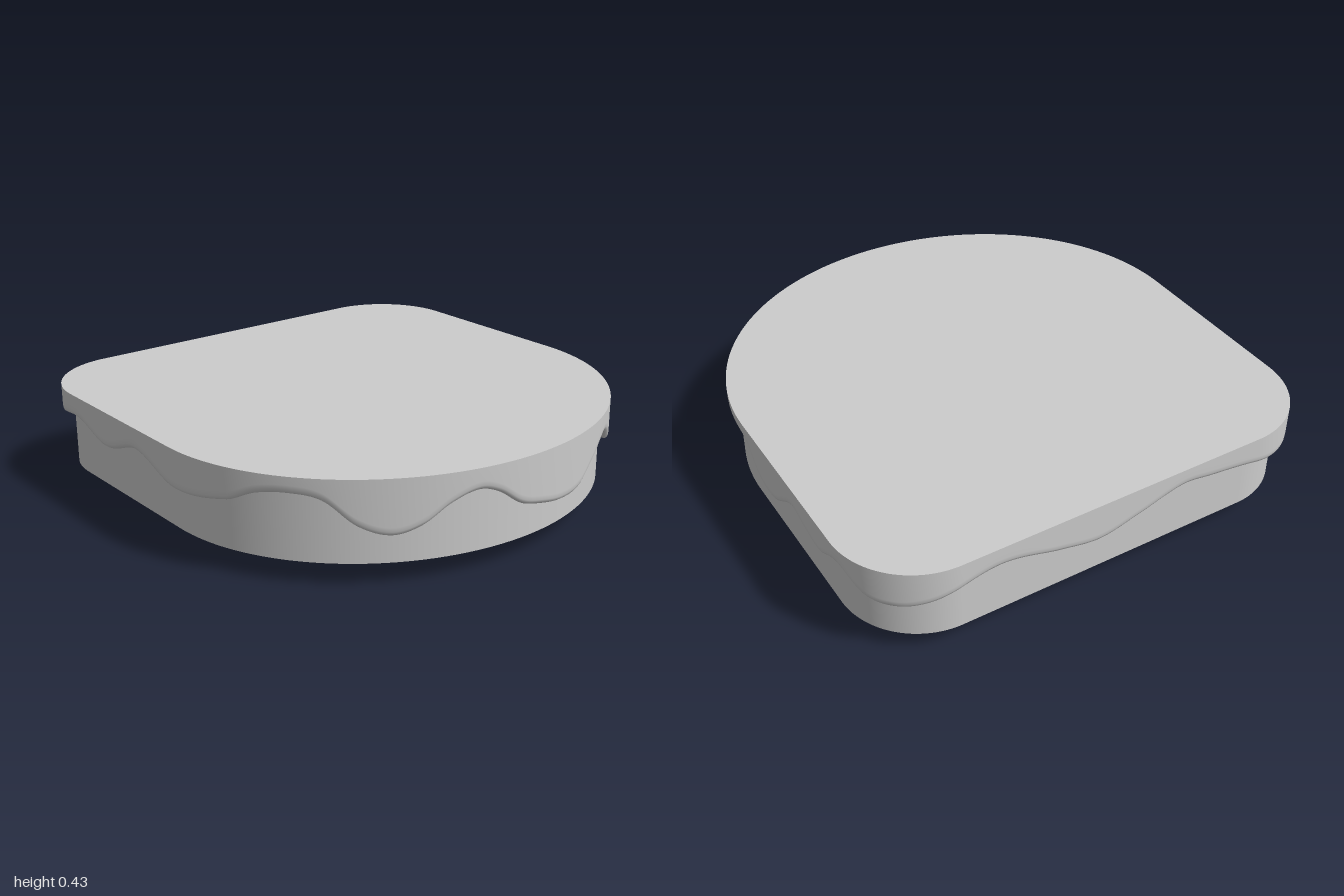
import * as THREE from 'three';

const TOP = 0.433, BASE = 0.09;
const material = new THREE.MeshStandardMaterial({ color: 0xcccccc });

// Stacked closed rings (each an array of [x, y, z]) joined into a smooth surface.
function loft(rings) {
  const n = rings[0].length, index = [];
  for (let j = 0; j < rings.length - 1; j++) {
    for (let i = 0; i < n; i++) {
      const k = (i + 1) % n, a = j * n + i, b = j * n + k, c = a + n, d = b + n;
      index.push(a, b, c, b, d, c);
    }
  }
  const geometry = new THREE.BufferGeometry();
  geometry.setAttribute('position', new THREE.Float32BufferAttribute(rings.flat(2), 3));
  geometry.setIndex(index);
  geometry.computeVertexNormals();
  return geometry;
}

// Plan outline: elliptical front, straight sides, rounded back corners.
function planOutline() {
  const s = new THREE.Shape(), P = Math.PI, r = 0.34, c = 1 - r;
  s.moveTo(0, 1);
  s.absellipse(0, 0.1, 1, 0.9, P / 2, 0, true);
  s.lineTo(1, -c);
  s.absellipse(c, -c, r, r, 0, -P / 2, true);
  s.lineTo(-c, -1);
  s.absellipse(-c, -c, r, r, -P / 2, -P, true);
  s.lineTo(-1, 0.1);
  s.absellipse(0, 0.1, 1, 0.9, P, P / 2, true);
  return s.getSpacedPoints(540).slice(0, -1);
}

// Lower edge of the icing: angle in degrees from the front towards +x, height.
const DRIP = [
  [3, .22], [10, .2], [17, .21], [23, .27], [32, .345], [38, .31], [43, .25], [50, .222],
  [58, .26], [65, .33], [72, .362], [84, .365], [87, .33], [90, .27], [95, .235], [100, .25],
  [108, .335], [114, .31], [119, .295], [125, .355], [131, .28], [136, .265], [141, .28],
  [153, .345], [166, .29], [176, .26], [186, .3], [197, .355], [204, .34], [211, .32],
  [219, .285], [225, .28], [237, .34], [248, .28], [261, .34], [276, .27], [292, .3],
  [299, .35], [306, .365], [313, .345], [320, .25], [327, .21], [333.5, .24], [339.6, .31],
  [346, .345], [351, .32], [357, .25],
];

// Smooth periodic interpolation of the drip heights.
function dripHeight(x, z) {
  const n = DRIP.length;
  const at = (i) => {
    const turn = Math.floor(i / n), p = DRIP[i - turn * n];
    return [p[0] + 360 * turn, p[1]];
  };
  let t = THREE.MathUtils.radToDeg(Math.atan2(x, z));
  if (t < DRIP[0][0]) t += 360;
  let i = 0;
  while (at(i + 1)[0] <= t) i++;
  const [p, a, b, q] = [at(i - 1), at(i), at(i + 1), at(i + 2)];
  const w = b[0] - a[0], u = (t - a[0]) / w;
  const ma = w * (b[1] - p[1]) / (b[0] - p[0]), mb = w * (q[1] - a[1]) / (q[0] - a[0]);
  const u2 = u * u, u3 = u2 * u;
  return (2 * u3 - 3 * u2 + 1) * a[1] + (u3 - 2 * u2 + u) * ma
    + (3 * u2 - 2 * u3) * b[1] + (u3 - u2) * mb;
}

export function createModel() {
  const model = new THREE.Group();
  const add = (name, geometry, parent = model) => {
    const mesh = new THREE.Mesh(geometry, material);
    mesh.name = name;
    parent.add(mesh);
    return mesh;
  };
  const group = (name) => {
    const g = new THREE.Group();
    g.name = name;
    model.add(g);
    return g;
  };

  const outline = planOutline();
  const ring = (scale, y) => outline.map((p) => [p.x * scale, y, p.y * scale]);
  const drips = outline.map((p) => dripHeight(p.x, p.y));
  const dripRing = (scale, lift) =>
    outline.map((p, i) => [p.x * scale, drips[i] + lift, p.y * scale]);

  // Body, slightly narrower than the icing
  const body = group('body');
  add('bodyWall', loft([ring(0.96, BASE), ring(0.96, TOP - 0.02)]), body);
  add('bodyUnderside', loft([ring(0, BASE), ring(0.96, BASE)]), body);

  // Icing with a wavy, softly rounded lower edge
  const icing = group('icing');
  add('icingLip', loft([dripRing(0.95, 0.012), dripRing(0.985, 0)]), icing);
  add('icingWall', loft([
    dripRing(0.985, 0), dripRing(0.994, 0.006), dripRing(0.999, 0.018),
    dripRing(1, 0.035), ring(1, TOP),
  ]), icing);
  add('icingTop', loft([ring(1, TOP), ring(0, TOP)]), icing);

  // Large domed pad under the body, mirrored from one half of its outline
  const half = [[0.2, 0.16], [0.36, -0.02], [0.52, -0.19], [0.75, -0.38],
    [0.82, -0.6], [0.75, -0.81], [0.56, -0.87], [0.3, -0.83]];
  const points = [[0, 0.21], ...half, [0, -0.8], ...half.map(([x, z]) => [-x, z]).reverse()];
  const padCurve = new THREE.CatmullRomCurve3(
    points.map(([x, z]) => new THREE.Vector3(x, 0, z)), true);
  const padOutline = padCurve.getSpacedPoints(120).slice(0, -1);
  const padRings = [], centreZ = -0.42;
  for (let j = 0; j <= 16; j++) {
    const s = Math.sin((j / 16) * Math.PI / 2);
    const y = BASE * (1 - Math.sqrt(Math.max(0, 1 - s ** 3)));
    padRings.push(padOutline.map((p) => [p.x * s, y, centreZ + (p.z - centreZ) * s]));
  }
  add('mainPad', loft(padRings));

  // Five oval toe pads in an arc towards the front
  const toes = group('toePads');
  for (const [x, z] of [[-0.67, 0.16], [-0.375, 0.46], [0, 0.62], [0.375, 0.46], [0.67, 0.16]]) {
    const toe = add('toePad', new THREE.SphereGeometry(1, 32, 20), toes);
    toe.scale.set(0.115, 0.055, 0.165);
    toe.position.set(x, BASE, z);
  }
  return model;
}
